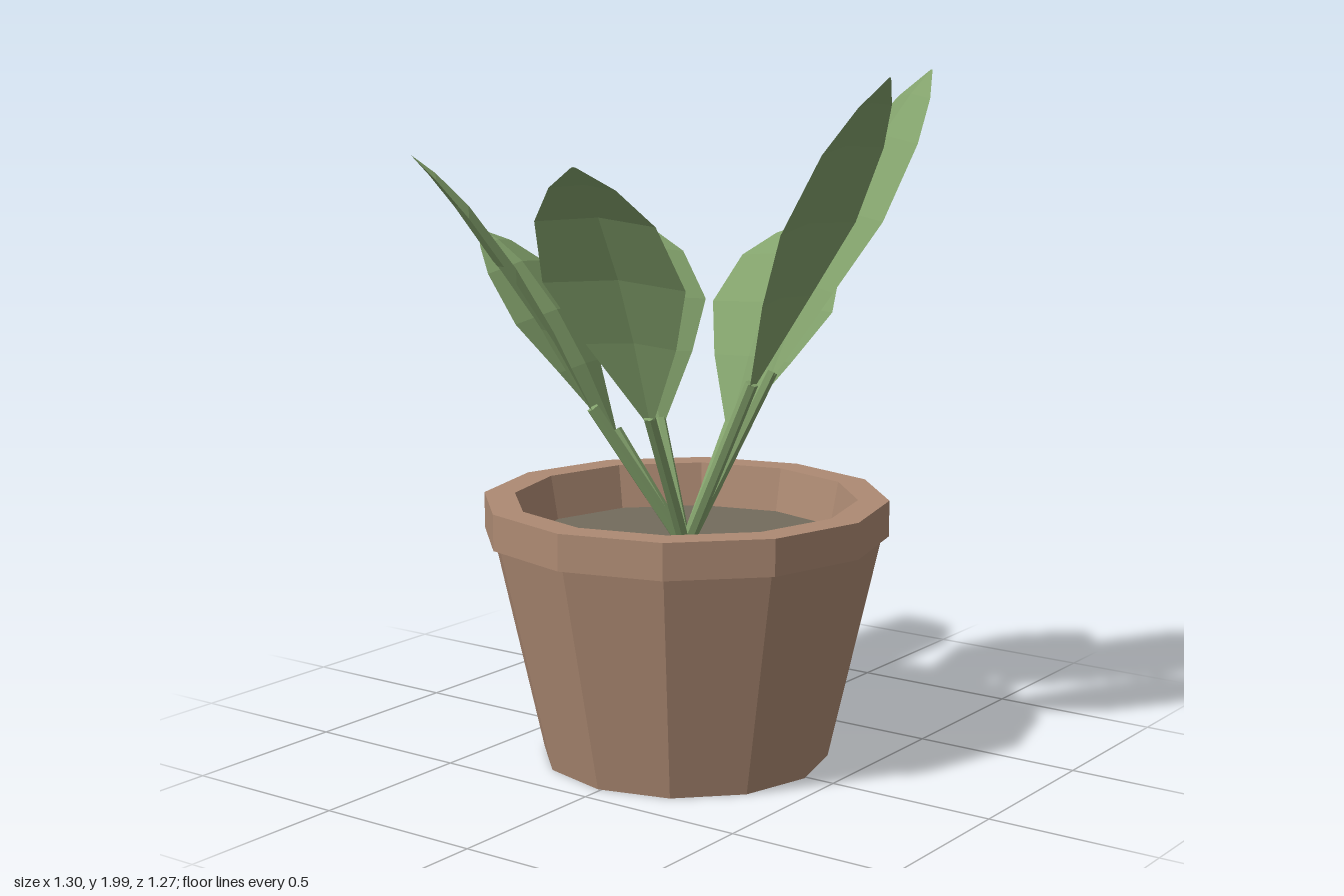
import * as THREE from 'three';

const clay = new THREE.MeshStandardMaterial({ color: 0xad8a73, flatShading: true });
clay.name = 'clay';
const earth = new THREE.MeshStandardMaterial({ color: 0x736b5c, flatShading: true });
earth.name = 'earth';
const green = new THREE.MeshStandardMaterial({ color: 0x83a26c, flatShading: true, side: THREE.DoubleSide });
green.name = 'leafGreen';

const SIDES = 12, SOIL_Y = 0.64;

function mesh(name, geometry, material) {
  const m = new THREE.Mesh(geometry, material);
  m.name = name;
  return m;
}

function lathe(points) {
  return new THREE.LatheGeometry(points.map(p => new THREE.Vector2(...p)), SIDES);
}

// Blade in the x-y plane: an arched midrib with drooping edges
function bladeGeometry(r0, y0, r1, y1, arch) {
  const along = [0, 0.22, 0.43, 0.69, 0.87, 1];
  const halfWidth = [0.015, 0.14, 0.218, 0.182, 0.1, 0.006];
  const pos = [], index = [];
  along.forEach((s, i) => {
    const r = r0 + (r1 - r0) * s;
    const y = y0 + (y1 - y0) * (s + arch * s * (1 - s));
    const tangent = new THREE.Vector2(r1 - r0, (y1 - y0) * (1 + arch * (1 - 2 * s))).normalize();
    const w = halfWidth[i], droop = 0.15 * w;
    for (const side of [-1, 0, 1]) {
      const d = side ? droop : 0;
      pos.push(r + tangent.y * d, y - tangent.x * d, side * w);
    }
    if (i === 0) return;
    for (let j = 0; j < 2; j++) {
      const a = (i - 1) * 3 + j, b = a + 3;
      index.push(a, a + 1, b, a + 1, b + 1, b);
    }
  });
  const g = new THREE.BufferGeometry();
  g.setAttribute('position', new THREE.Float32BufferAttribute(pos, 3));
  g.setIndex(index);
  g.computeVertexNormals();
  return g;
}

// Six-sided stalk from the soil centre to the base of the blade
function stemGeometry(r, y) {
  const dy = y - SOIL_Y + 0.02;
  const g = new THREE.CylinderGeometry(0.019, 0.019, Math.hypot(r, dy), 6);
  g.rotateZ(-Math.atan2(r, dy));
  g.translate(r / 2, y - dy / 2, 0);
  return g;
}

export function createModel() {
  const model = new THREE.Group();
  model.name = 'pottedPlant';
  const plant = new THREE.Group();
  plant.name = 'potAndLeaves';
  plant.position.set(-0.01, 0, -0.01);
  model.add(plant);

  // Pot with a thick straight rim and a tapered inner wall
  plant.add(mesh('pot', lathe([
    [0, 0], [0.42, 0], [0.57, 0.665], [0.59, 0.665],
    [0.59, 0.77], [0.5, 0.77], [0.472, 0.625]]), clay));
  plant.add(mesh('soil', lathe([[0.477, SOIL_Y], [0, SOIL_Y]]), earth));

  // Leaves: direction in degrees from +x towards +z, stem reach, tip reach, base and tip heights, arch
  const leaves = [
    [1, 0.22, 0.65, 0.95, 1.52, 0.75],
    [32.5, 0.27, 0.775, 1.12, 1.985, 0.45],
    [85.5, 0.22, 0.64, 1.12, 1.985, 0.45],
    [170.5, 0.225, 0.65, 1.04, 1.765, 0.55],
    [222.5, 0.27, 0.77, 1.04, 1.765, 0.55],
    [256.5, 0.22, 0.65, 0.95, 1.52, 0.75],
    [307.5, 0.265, 0.77, 0.95, 1.52, 0.75],
  ];
  for (const [angle, r0, r1, y0, y1, arch] of leaves) {
    const leaf = new THREE.Group();
    leaf.name = 'leaf';
    leaf.add(mesh('stem', stemGeometry(r0, y0), green));
    leaf.add(mesh('blade', bladeGeometry(r0, y0 - 0.01, r1, y1, arch), green));
    leaf.rotation.y = -THREE.MathUtils.degToRad(angle);
    plant.add(leaf);
  }
  return model;
}
